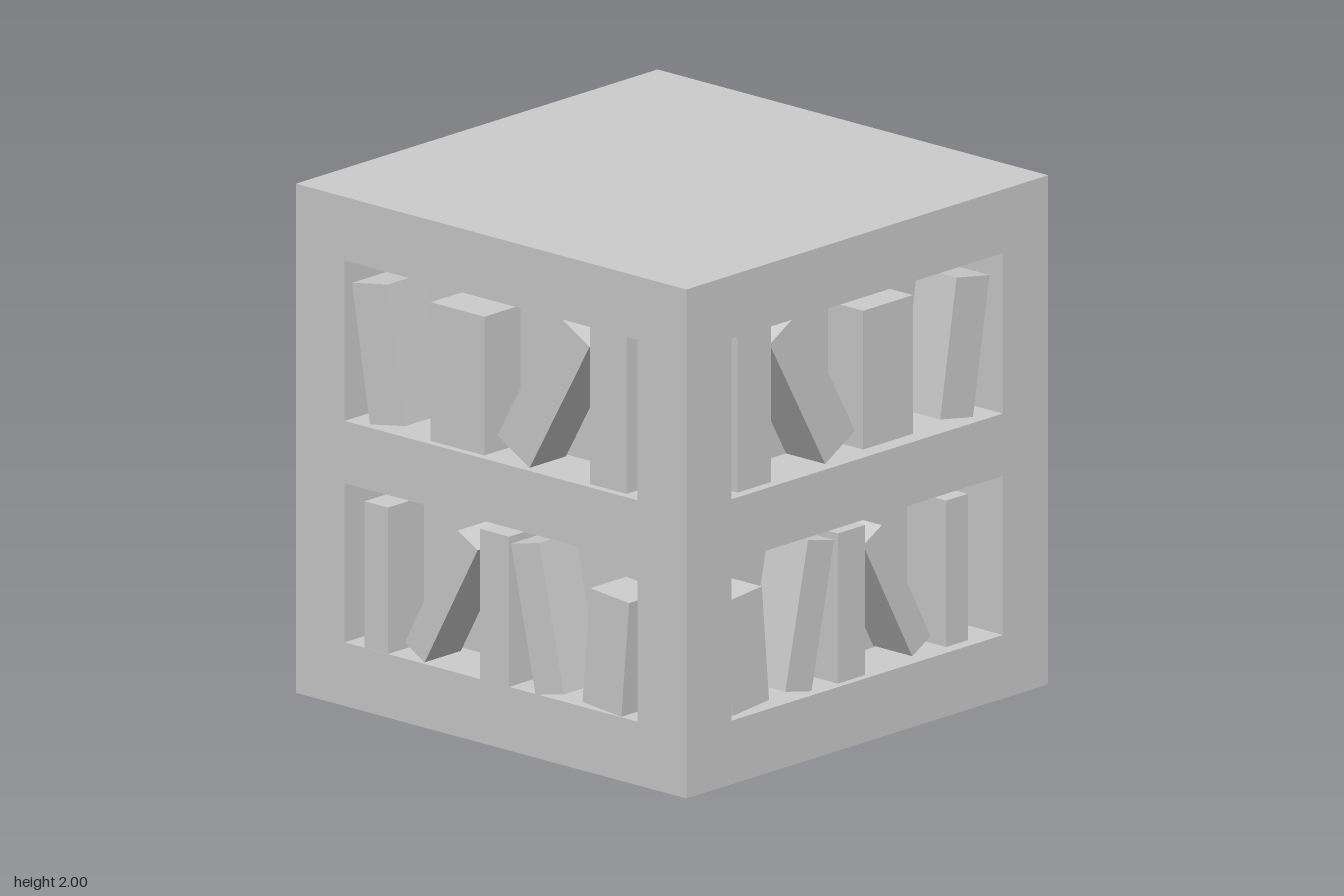
import * as THREE from 'three';

const material = new THREE.MeshStandardMaterial({ color: 0xcccccc, flatShading: true });

function box(parent, name, w, h, d, x, y, z, tilt = 0) {
  const mesh = new THREE.Mesh(new THREE.BoxGeometry(w, h, d), material);
  mesh.name = name;
  mesh.position.set(x, y, z);
  mesh.rotation.z = tilt;
  parent.add(mesh);
  return mesh;
}

// Each book: centre across, centre height, width, height, tilt, setback from the face
const upperBooks = [
  [-0.582, 1.433, 0.185, 0.625, 0, 0.04],
  [-0.25, 1.436, 0.19, 0.62, 0.518, 0.05],
  [0.19, 1.393, 0.275, 0.545, 0, 0.07],
  [0.593, 1.405, 0.184, 0.545, -0.167, 0.05],
];
const lowerBooks = [
  [-0.625, 0.488, 0.2, 0.457, 0.087, 0.035],
  [-0.275, 0.547, 0.148, 0.582, -0.217, 0.04],
  [-0.055, 0.545, 0.15, 0.59, 0, 0.03],
  [0.218, 0.533, 0.117, 0.566, 0.5, 0.05],
  [0.55, 0.538, 0.12, 0.575, 0, 0.05],
];
const bookDepth = 0.2;

// One row of books on the +z (side = 1) or -z (side = -1) face of its parent
function bookRow(parent, name, books, side, shift = 0, setback = null) {
  const row = new THREE.Group();
  row.name = name;
  for (const [u, y, w, h, tilt, inset] of books) {
    const z = side * (1 - (setback ?? inset) - bookDepth / 2);
    box(row, 'book', w, h, bookDepth, u + shift, y, z, tilt);
  }
  parent.add(row);
}

export function createModel() {
  const model = new THREE.Group();
  model.name = 'bookshelfBlock';

  // Horizontal slabs
  const slabs = [['base', 0, 0.25], ['middleShelf', 0.875, 1.12], ['top', 1.75, 2]];
  for (const [name, y0, y1] of slabs) box(model, name, 2, y1 - y0, 2, 0, (y0 + y1) / 2, 0);

  // Corner posts and the solid core behind the books, on both levels
  for (const [y0, y1] of [[0.25, 0.875], [1.12, 1.75]]) {
    const h = y1 - y0, y = (y0 + y1) / 2;
    box(model, 'core', 1.5, h, 1.5, 0, y, 0);
    for (const x of [-1, 1])
      for (const z of [-1, 1]) box(model, 'cornerPost', 0.25, h, 0.25, x * 0.875, y, z * 0.875);
  }

  // Books on the front and back
  const frontBack = new THREE.Group();
  frontBack.name = 'frontAndBackBooks';
  // Books on the two sides, turned to face along x
  const sides = new THREE.Group();
  sides.name = 'sideBooks';
  sides.rotation.y = Math.PI / 2;
  for (const side of [1, -1]) {
    bookRow(frontBack, 'upperBooks', upperBooks, side);
    bookRow(frontBack, 'lowerBooks', lowerBooks, side);
    bookRow(sides, 'upperBooks', upperBooks, side, 0.01, 0.03);
    bookRow(sides, 'lowerBooks', lowerBooks, side, 0.038, side > 0 ? 0.055 : 0);
  }
  model.add(frontBack, sides);
  return model;
}
